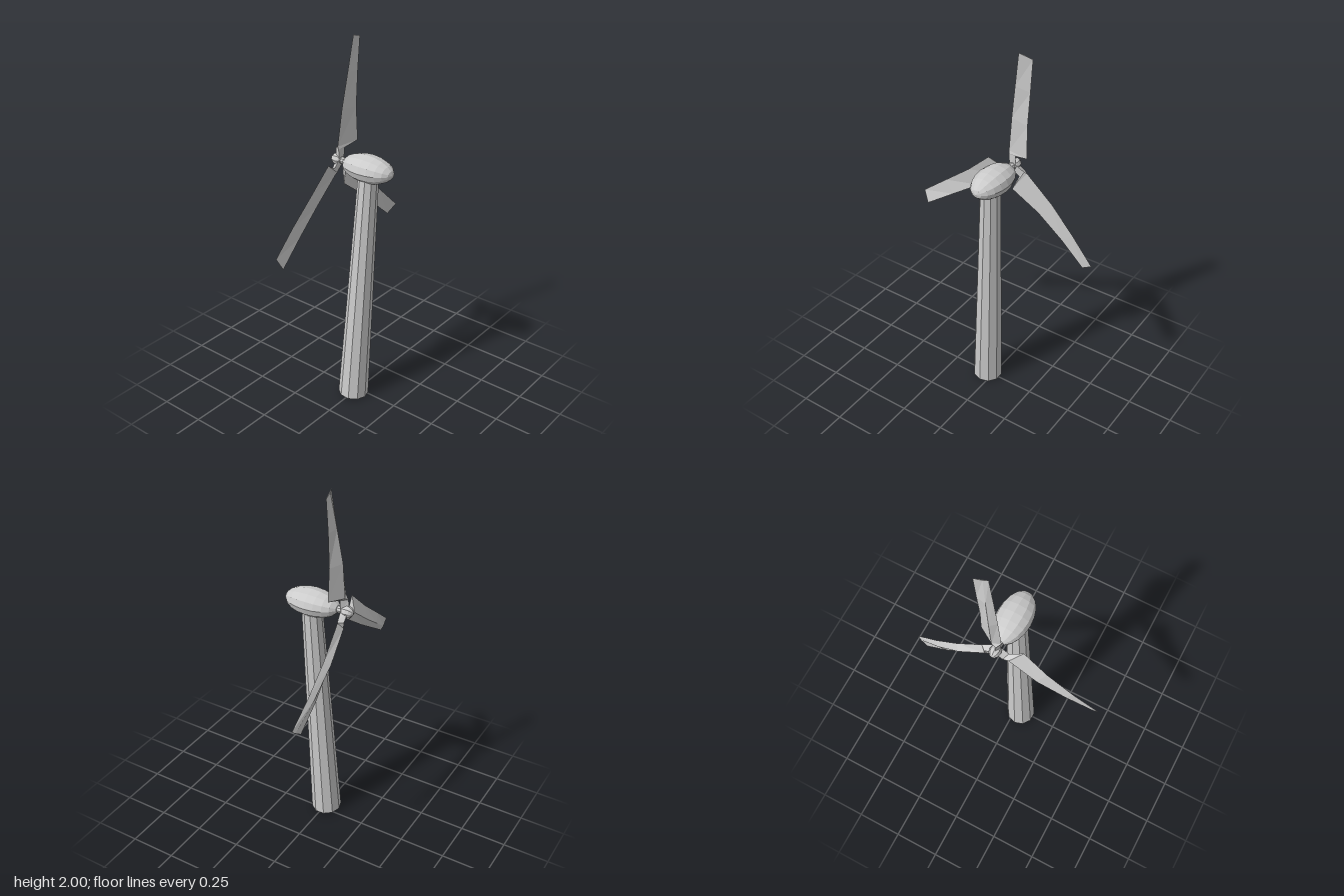
import * as THREE from 'three';

const material = new THREE.MeshStandardMaterial({ color: 0xcccccc, flatShading: true });

function addMesh(parent, name, geometry, position = [0, 0, 0]) {
  const mesh = new THREE.Mesh(geometry, material);
  mesh.name = name;
  mesh.position.set(...position);
  parent.add(mesh);
  return mesh;
}

// Tapered many-sided bar running from point a to point b
function addBar(parent, name, a, b, radiusA, radiusB, sides) {
  const start = new THREE.Vector3(...a), end = new THREE.Vector3(...b);
  const axis = end.clone().sub(start);
  const mesh = addMesh(parent, name, new THREE.CylinderGeometry(radiusB, radiusA, axis.length(), sides));
  mesh.position.copy(start).add(end).multiplyScalar(0.5);
  mesh.quaternion.setFromUnitVectors(new THREE.Vector3(0, 1, 0), axis.normalize());
  return mesh;
}

// Faceted ellipsoid with its poles on the z axis
function ellipsoid(rx, ry, rz, around, along) {
  return new THREE.SphereGeometry(1, around, along).rotateX(Math.PI / 2).scale(rx, ry, rz);
}

// Blade stations, hub to tip: left edge (along, across, z), right edge (along, across, z), ridge depth
const stations = [
  { left: [0.0, -0.018, 0.01], right: [0.0, 0.018, 0.01], ridge: 0.035 },
  { left: [0.06, -0.03, 0.005], right: [0.065, 0.012, 0.01], ridge: 0.03 },
  { left: [0.075, -0.035, 0], right: [0.098, 0.088, 0.028], ridge: 0.03 },
  { left: [0.275, -0.04, 0], right: [0.275, 0.06, 0.012], ridge: 0.03 },
  { left: [0.46, -0.038, 0.004], right: [0.46, 0.047, 0], ridge: 0.018 },
  { left: [0.646, -0.036, 0.007], right: [0.635, 0.036, -0.007], ridge: 0.004 },
];

// Triangular sections lofted along a direction, leaning and bowing in z
function bladeGeometry(dx, dy, lean, bow) {
  const length = Math.hypot(dx, dy);
  const ux = dx / length, uy = dy / length;
  const place = ([along, across, z]) => {
    const t = along / length;
    return [along * ux + across * uy, along * uy - across * ux, z + lean * t + bow * 4 * t * (1 - t)];
  };
  const sections = stations.map(({ left, right, ridge }) => {
    const back = left.map((value, i) => value + (right[i] - value) * 0.35);
    back[2] -= ridge;
    return [left, right, back].map(place);
  });

  const positions = [];
  const triangle = (a, b, c) => positions.push(...a, ...b, ...c);
  for (let i = 0; i < sections.length - 1; i++) {
    const s = sections[i], n = sections[i + 1];
    for (let j = 0; j < 3; j++) {
      const k = (j + 1) % 3;
      triangle(s[j], s[k], n[k]);
      triangle(s[j], n[k], n[j]);
    }
  }
  const root = sections[0], tip = sections[sections.length - 1];
  triangle(root[0], root[2], root[1]);
  triangle(tip[0], tip[1], tip[2]);

  const geometry = new THREE.BufferGeometry();
  geometry.setAttribute('position', new THREE.Float32BufferAttribute(positions, 3));
  geometry.computeVertexNormals();
  return geometry;
}

export function createModel() {
  const model = new THREE.Group();
  model.name = 'windTurbine';

  // Leaning tower
  addBar(model, 'tower', [-0.036, 0.008, -0.004], [0.021, 1.32, 0.05], 0.082, 0.053, 10);

  // Egg-shaped housing
  addMesh(model, 'nacelle', ellipsoid(0.09, 0.07, 0.15, 12, 10), [0.03, 1.355, 0.04]);

  // Rotor: shaft, hub and three blades
  const rotor = new THREE.Group();
  rotor.name = 'rotor';
  rotor.position.set(0.03, 1.355, -0.14);
  model.add(rotor);
  addBar(rotor, 'shaft', [0, 0, 0.06], [0, 0, -0.02], 0.018, 0.018, 8);
  addMesh(rotor, 'hub', ellipsoid(0.031, 0.031, 0.036, 8, 6), [0, 0, -0.015]);

  const blades = [
    ['topBlade', 0.085, 0.635, 0.04, 0],
    ['leftBlade', 0.443, -0.445, -0.003, -0.016],
    ['rightBlade', -0.52, -0.355, 0.05, -0.008],
  ];
  for (const [name, dx, dy, lean, bow] of blades) {
    addMesh(rotor, name, bladeGeometry(dx, dy, lean, bow));
  }

  return model;
}
